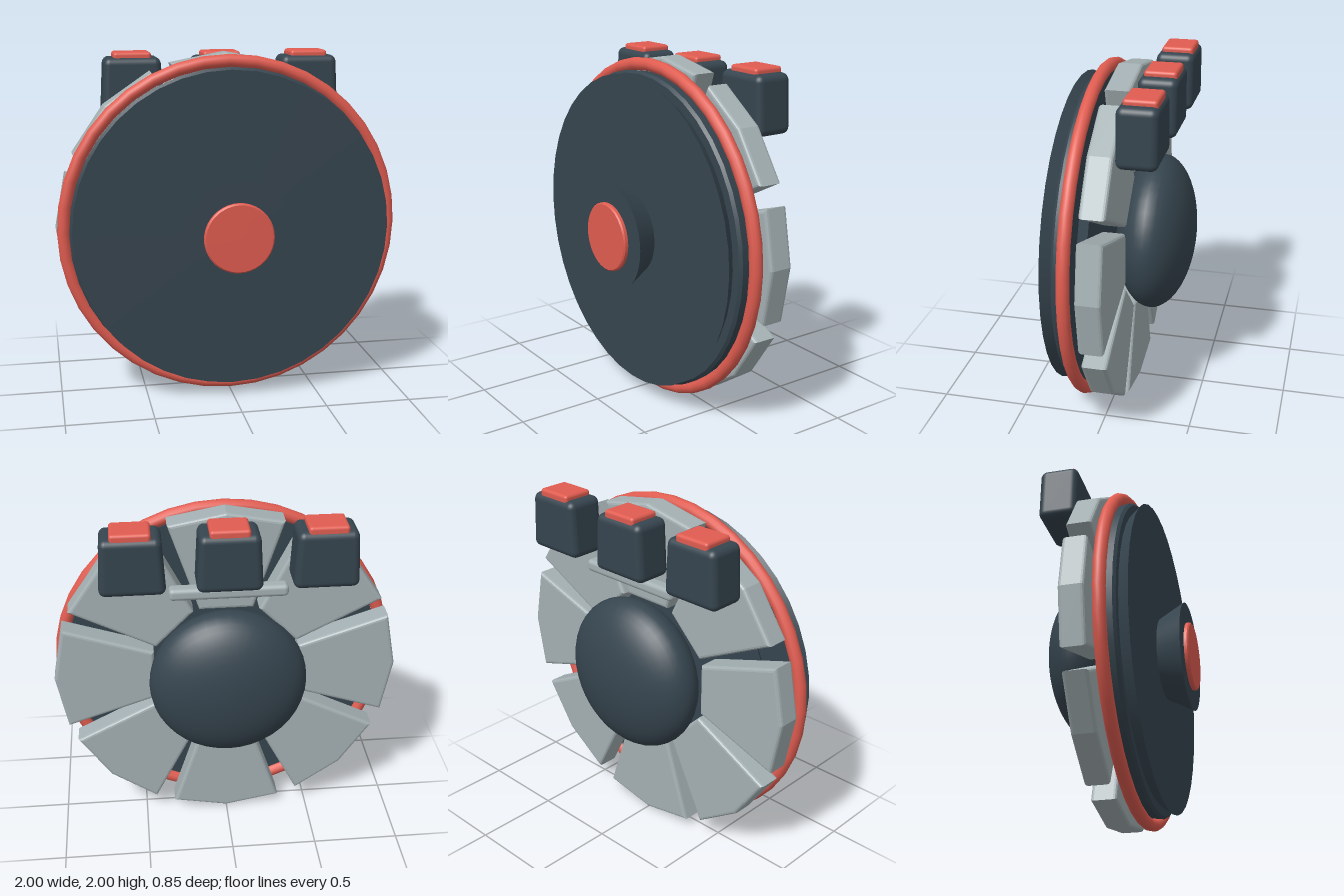
import * as THREE from 'three';
import { RoundedBoxGeometry } from 'three/addons/geometries/RoundedBoxGeometry.js';

const mat = (name, color) => new THREE.MeshStandardMaterial({ name, color });

export function createModel() {
  const red = mat('coral red', 0xe05c50);
  const dark = mat('dark slate', 0x36454f);
  const grey = mat('pale grey', 0xa4b0b3);

  const model = new THREE.Group();
  model.name = 'wheelDevice';

  const add = (parent, name, geometry, material, x = 0, y = 0, z = 0) => {
    const mesh = new THREE.Mesh(geometry, material);
    mesh.name = name;
    mesh.position.set(x, y, z);
    parent.add(mesh);
    return mesh;
  };

  // Everything round shares one axis along z at y = 1
  const wheel = new THREE.Group();
  wheel.name = 'wheel';
  wheel.position.y = 1.005;
  model.add(wheel);

  // Disc from z0 to z1 with its own radius at the back and the front
  const disc = (name, material, rBack, rFront, z0, z1) => {
    const g = new THREE.CylinderGeometry(rFront, rBack, z1 - z0, 40).rotateX(Math.PI / 2);
    return add(wheel, name, g, material, 0, 0, (z0 + z1) / 2);
  };

  disc('backPlate', dark, 0.78, 0.72, 0.03, 0.1);
  disc('rimDisc', dark, 0.92, 0.93, 0.1, 0.17);
  disc('rimDiscBevel', dark, 0.93, 0.915, 0.17, 0.186);
  disc('frontPlate', dark, 0.86, 0.915, 0.18, 0.25);
  disc('hub', dark, 0.24, 0.32, 0.25, 0.4);
  disc('hubButton', red, 0.2, 0.2, 0.4, 0.418);
  disc('hubButtonBevel', red, 0.2, 0.192, 0.418, 0.426);
  add(wheel, 'ring', new THREE.TorusGeometry(0.96, 0.037, 12, 40), red, 0, 0, 0.108);

  // Flattened dome on the back
  const domeGeometry = new THREE.SphereGeometry(0.455, 40, 24).rotateX(Math.PI / 2);
  domeGeometry.scale(1, 1, 0.225 / 0.455);
  add(wheel, 'backDome', domeGeometry, dark, 0, 0, -0.2);

  // Eight bevelled wedge pads around the wheel
  const wedge = new THREE.Shape([
    [0.44, -0.14], [0.925, -0.3], [0.98, 0], [0.925, 0.3], [0.44, 0.14],
  ].map(([x, y]) => new THREE.Vector2(x, y)));
  const padGeometry = new THREE.ExtrudeGeometry(wedge, {
    depth: 0.105, bevelSize: 0.02, bevelThickness: 0.02, bevelSegments: 3,
  });
  for (let i = 0; i < 8; i++) {
    add(wheel, 'pad', padGeometry, grey, 0, 0, -0.085).rotation.z = i * Math.PI / 4;
  }

  // Rounded block that narrows towards its top
  const blockGeometry = new RoundedBoxGeometry(0.365, 0.33, 0.225, 4, 0.04);
  const p = blockGeometry.attributes.position;
  for (let i = 0; i < p.count; i++) {
    const t = (p.getY(i) + 0.165) / 0.33;
    p.setX(i, p.getX(i) * (1 - 0.1 * t));
  }
  const capGeometry = new RoundedBoxGeometry(0.22, 0.06, 0.185, 3, 0.018);

  // Three blocks with red caps along the top
  for (const x of [-0.525, 0, 0.525]) {
    const unit = new THREE.Group();
    unit.name = 'topBlock';
    unit.position.set(x, 0, -0.2175);
    add(unit, 'block', blockGeometry, dark, 0, 1.805, 0);
    add(unit, 'cap', capGeometry, red, 0, 1.97, -0.006);
    model.add(unit);
  }

  // Bar below the blocks
  add(model, 'bar', new RoundedBoxGeometry(0.66, 0.07, 0.085, 3, 0.025), grey, 0, 1.6, -0.215);

  return model;
}
